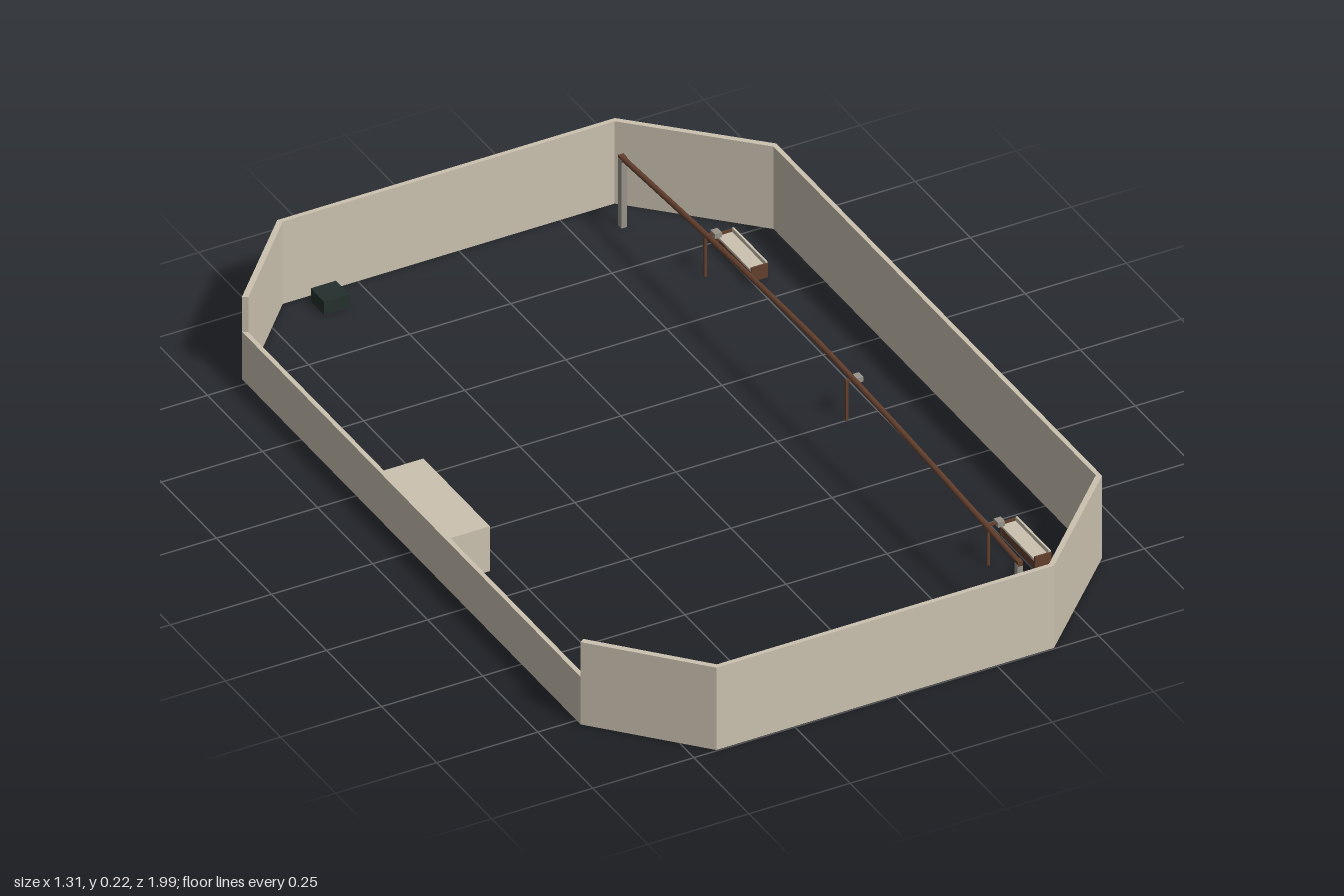
import * as THREE from 'three';

export function createModel() {
  const group = new THREE.Group();
  const mat = (name, color) => Object.assign(new THREE.MeshStandardMaterial({ color }), { name });
  const stone = mat('stone beige', 0xcbc2b0);
  const wood = mat('brown wood', 0x64402e);
  const metal = mat('grey post', 0x99948a);
  const dark = mat('dark green', 0x24302d);

  const add = (name, geo, material, parent = group) => {
    const mesh = new THREE.Mesh(geo, material);
    mesh.name = name;
    parent.add(mesh);
    return mesh;
  };
  // box given by its minimum and maximum corners
  const box = (name, material, x0, x1, y0, y1, z0, z1, parent) => {
    const geo = new THREE.BoxGeometry(x1 - x0, y1 - y0, z1 - z0);
    geo.translate((x0 + x1) / 2, (y0 + y1) / 2, (z0 + z1) / 2);
    return add(name, geo, material, parent);
  };

  // eight-sided enclosure wall, one mitred panel per side; the -x side is low
  const ring = [
    [-0.443, 0.997], [0.392, 0.997], [0.652, 0.738], [0.652, -0.742],
    [0.392, -0.997], [-0.443, -0.997], [-0.654, -0.77], [-0.654, 0.768],
  ];
  const inner = ring.map(([x, z]) => [x * 0.983, z * 0.989]);
  const LOW_SIDE = 6;
  ring.forEach((p, i) => {
    const j = (i + 1) % ring.length;
    const corners = [p, ring[j], inner[j], inner[i]];
    const shape = new THREE.Shape(corners.map(([x, z]) => new THREE.Vector2(x, -z)));
    const depth = i === LOW_SIDE ? 0.124 : 0.215;
    const geo = new THREE.ExtrudeGeometry(shape, { depth, bevelEnabled: false });
    geo.rotateX(-Math.PI / 2);
    add(i === LOW_SIDE ? 'lowWall' : 'wall', geo, stone);
  });

  // long arched rail on two end posts
  const railX = 0.358;
  const railPoints = [-0.905, -0.6, -0.3, 0, 0.3, 0.6, 0.905].map((z) =>
    new THREE.Vector3(railX, 0.218 - 0.04 * Math.pow(Math.abs(z) / 0.905, 1.45), z));
  const railCurve = new THREE.CatmullRomCurve3(railPoints);
  add('archedRail', new THREE.TubeGeometry(railCurve, 24, 0.0065, 8), wood);
  for (const z of [-0.9, 0.9]) {
    box('railPost', metal, railX - 0.007, railX + 0.007, 0, 0.177, z - 0.007, z + 0.007);
    box('railEndCap', wood, railX - 0.0065, railX + 0.0065, 0.172, 0.184, z - 0.008, z + 0.008);
  }

  // three thin stands with a short arm and a small head
  for (const z of [-0.643, 0, 0.643]) {
    const stand = new THREE.Group();
    stand.name = 'stand';
    stand.position.z = z;
    group.add(stand);
    box('standPost', wood, 0.419, 0.425, 0, 0.105, -0.003, 0.003, stand);
    box('standArm', wood, 0.419, 0.458, 0.101, 0.106, -0.003, 0.003, stand);
    box('standHead', metal, 0.441, 0.458, 0.096, 0.109, -0.01, 0.01, stand);
  }

  // two troughs along the +x side
  for (const z of [-0.645, 0.642]) {
    const trough = new THREE.Group();
    trough.name = 'trough';
    trough.position.z = z;
    group.add(trough);
    box('troughBase', wood, 0.497, 0.533, 0.008, 0.03, -0.076, 0.076, trough);
    box('troughTop', stone, 0.495, 0.535, 0.03, 0.036, -0.076, 0.076, trough);
    box('troughBack', stone, 0.531, 0.536, 0.008, 0.046, -0.076, 0.076, trough);
    for (const s of [-1, 1]) {
      box('troughEnd', wood, 0.495, 0.536, 0.006, 0.042, s * 0.077 - 0.002, s * 0.077 + 0.002, trough);
    }
  }

  // shelter against the low wall, open towards the middle
  box('shelterRoof', stone, -0.652, -0.54, 0.108, 0.117, -0.155, 0.147);
  for (const z of [-0.151, 0.143]) {
    box('shelterSide', stone, -0.648, -0.54, 0, 0.108, z - 0.004, z + 0.004);
  }
  box('shelterPeg', wood, -0.599, -0.592, 0.043, 0.059, -0.187, -0.142);

  // small shelf unit near the front
  box('shelfBack', stone, -0.32, -0.315, 0, 0.055, 0.88, 0.977);
  for (const y of [0.006, 0.03]) {
    box('shelfBoard', stone, -0.376, -0.318, y, y + 0.006, 0.88, 0.977);
  }

  // dark crate near the back
  box('crate', dark, -0.377, -0.315, 0, 0.034, -0.966, -0.905);

  return group;
}
